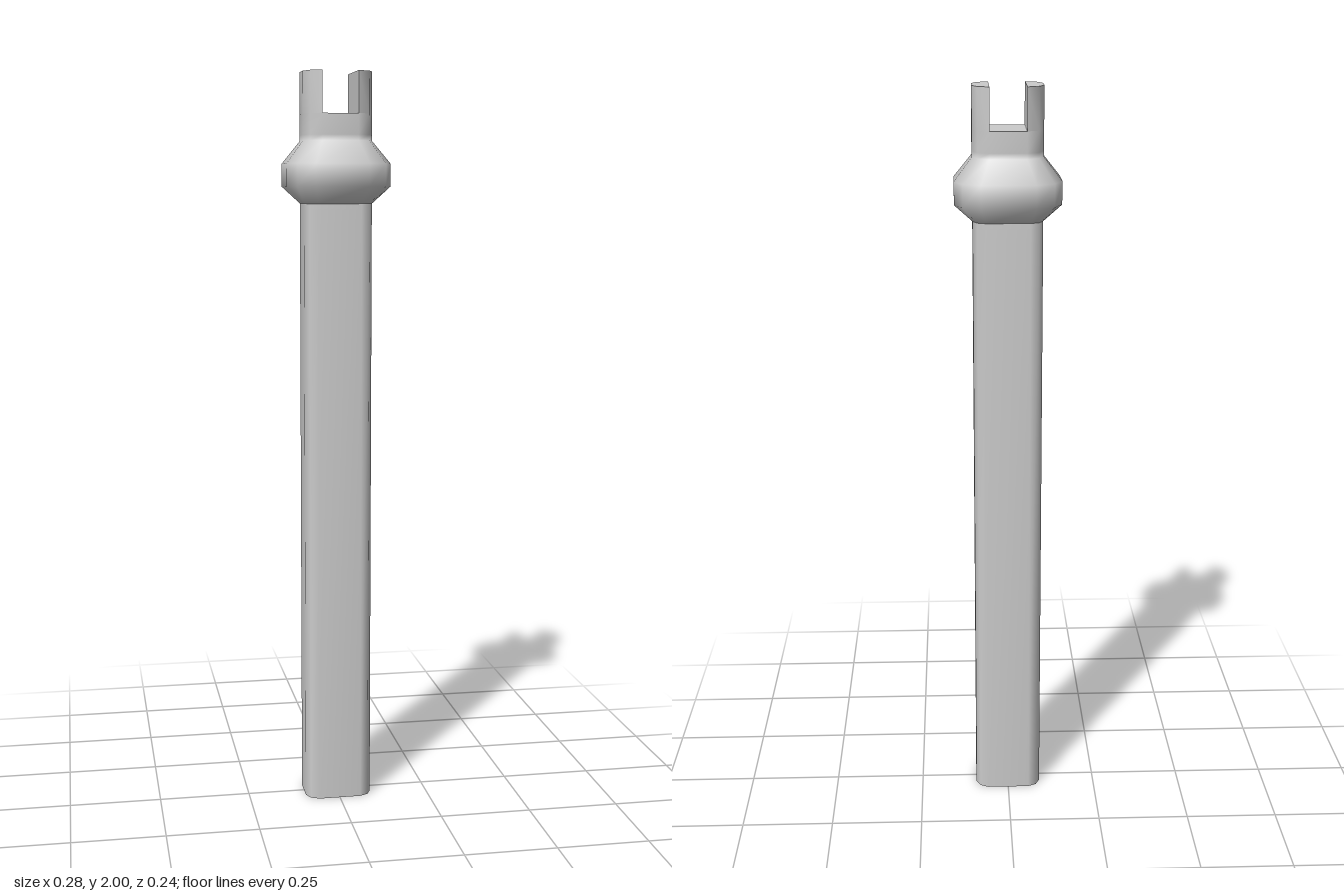
import * as THREE from 'three';
import { toCreasedNormals } from 'three/addons/utils/BufferGeometryUtils.js';

const SLOT_Y = 1.89, TOP_Y = 2, SLOT_X = 0.048;

// Twelve-sided rounded rectangle: flat half-widths (fx, fz), mid-corner point (mx, mz), half extents (hx, hz)
function section({ hx, hz, fx, fz, mx, mz }) {
  const quarter = [[hx, fz], [mx, mz], [fx, hz]];
  const flipped = [...quarter].reverse();
  return [
    ...quarter,
    ...flipped.map(([x, z]) => [-x, z]),
    ...quarter.map(([x, z]) => [-x, -z]),
    ...flipped.map(([x, z]) => [x, -z]),
  ];
}

const SHAFT = section({ hx: 0.092, hz: 0.071, fx: 0.058, fz: 0.036, mx: 0.081, mz: 0.06 });
const COLLAR = section({ hx: 0.14, hz: 0.119, fx: 0.071, fz: 0.049, mx: 0.118, mz: 0.096 });
const NECK = section({ hx: 0.093, hz: 0.078, fx: SLOT_X, fz: 0.029, mx: 0.079, mz: 0.062 });

// Smooth open skin through a stack of [height, section] rings
function loft(rings) {
  const positions = [], index = [], n = rings[0][1].length;
  rings.forEach(([y, pts], r) => {
    pts.forEach(([x, z], i) => {
      positions.push(x, y, z);
      if (r === 0) return;
      const j = (i + 1) % n, lo = (r - 1) * n, hi = r * n;
      index.push(lo + i, hi + i, lo + j, lo + j, hi + i, hi + j);
    });
  });
  const geo = new THREE.BufferGeometry();
  geo.setAttribute('position', new THREE.Float32BufferAttribute(positions, 3));
  geo.setIndex(index);
  geo.computeVertexNormals();
  return geo;
}

const toShape = (pts) => new THREE.Shape(pts.map(([x, z]) => new THREE.Vector2(x, -z)));

export function createModel() {
  const group = new THREE.Group();
  const material = new THREE.MeshStandardMaterial({ color: 0xcccccc, side: THREE.DoubleSide });
  const add = (name, geo, y = 0) => {
    const mesh = new THREE.Mesh(geo, material);
    mesh.name = name;
    mesh.position.y = y;
    group.add(mesh);
  };

  // Long hollow shaft, open at the foot
  add('shaft', loft([[0, SHAFT], [1.64, SHAFT], [1.655, SHAFT]]));

  // Bulging collar running into the neck
  add('collarAndNeck', loft([
    [1.655, SHAFT], [1.70, COLLAR], [1.76, COLLAR], [1.82, NECK], [1.835, NECK], [SLOT_Y, NECK],
  ]));

  // Floor of the slot
  add('slotFloor', new THREE.ShapeGeometry(toShape(NECK)).rotateX(-Math.PI / 2), SLOT_Y);

  // Two prongs either side of the slot
  for (const [name, side] of [['leftProng', 1], ['rightProng', -1]]) {
    const outline = NECK.filter(([x]) => x * side > 0);
    // keep the half outline in angular order from one slot corner to the other
    outline.sort((a, b) => Math.atan2(a[1], a[0] * side) - Math.atan2(b[1], b[0] * side));
    const geo = new THREE.ExtrudeGeometry(toShape(outline), { depth: TOP_Y - SLOT_Y, bevelEnabled: false });
    add(name, toCreasedNormals(geo.rotateX(-Math.PI / 2), 0.8), SLOT_Y);
  }
  return group;
}
